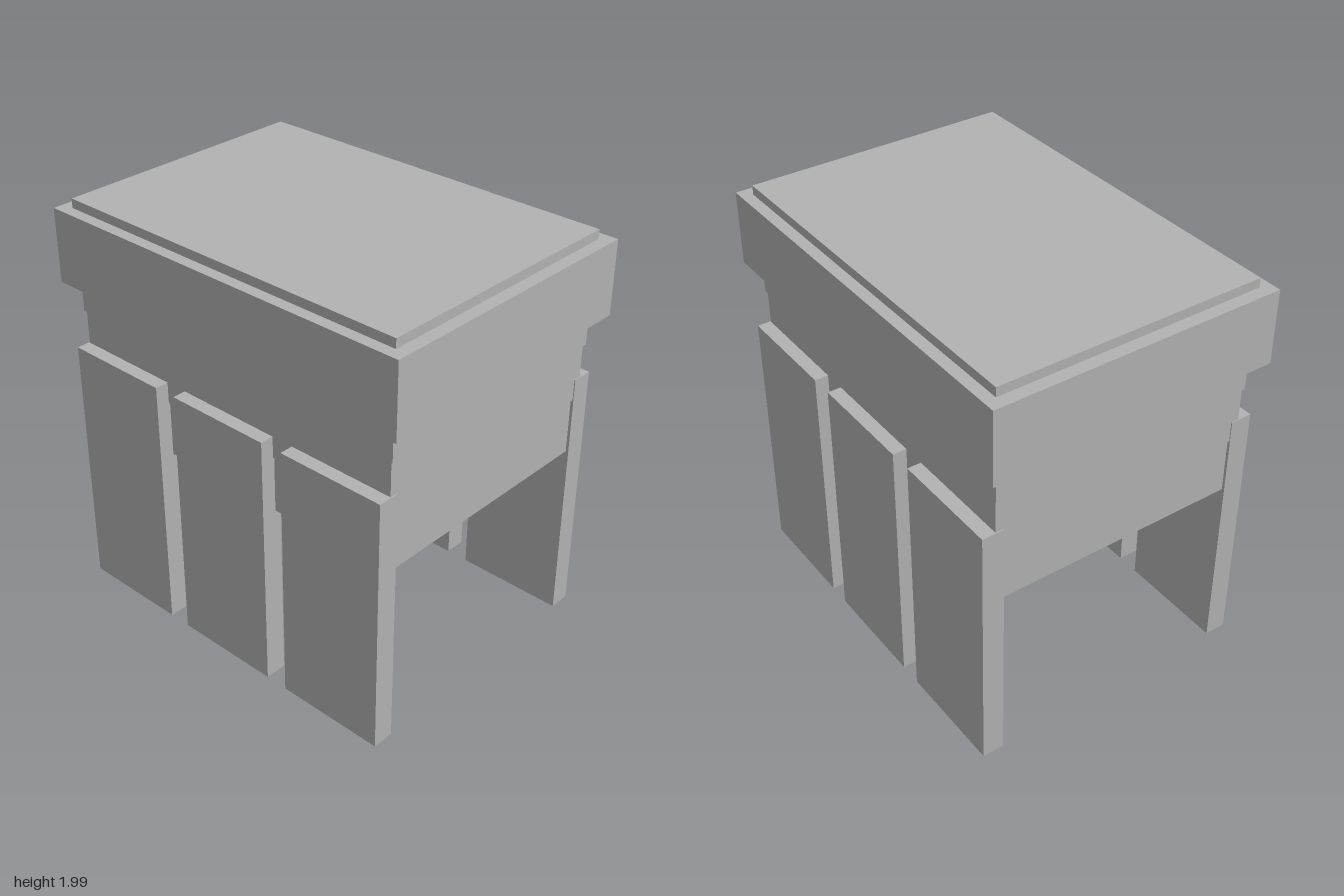
import * as THREE from 'three';

export function createModel() {
  const model = new THREE.Group();
  const grey = new THREE.MeshStandardMaterial({ color: 0xb2b2b2 });
  grey.name = 'plain grey';

  // Box centred on x, z and spanning y0 to y1
  function block(name, width, depth, y0, y1, x = 0, z = 0) {
    const mesh = new THREE.Mesh(new THREE.BoxGeometry(width, y1 - y0, depth), grey);
    mesh.position.set(x, (y0 + y1) / 2, z);
    mesh.name = name;
    model.add(mesh);
  }

  // Stepped body, narrowing downwards
  block('lowerBody', 1.826, 1.27, 0.895, 1.17);
  block('middleBody', 1.844, 1.284, 1.17, 1.44);
  block('collar', 1.866, 1.296, 1.44, 1.587);

  // Overhanging lid with a raised panel
  block('lid', 2, 1.418, 1.587, 1.948);
  block('topPanel', 1.878, 1.306, 1.948, 1.993);

  // Three slab legs along the front and three along the back
  for (const [side, z] of [['front', 0.656], ['back', -0.656]]) {
    for (const [place, x] of [['Right', -0.655], ['Middle', 0], ['Left', 0.655]]) {
      block(`${side}${place}Leg`, 0.543, 0.106, 0, 1.275, x, z);
    }
  }
  return model;
}
